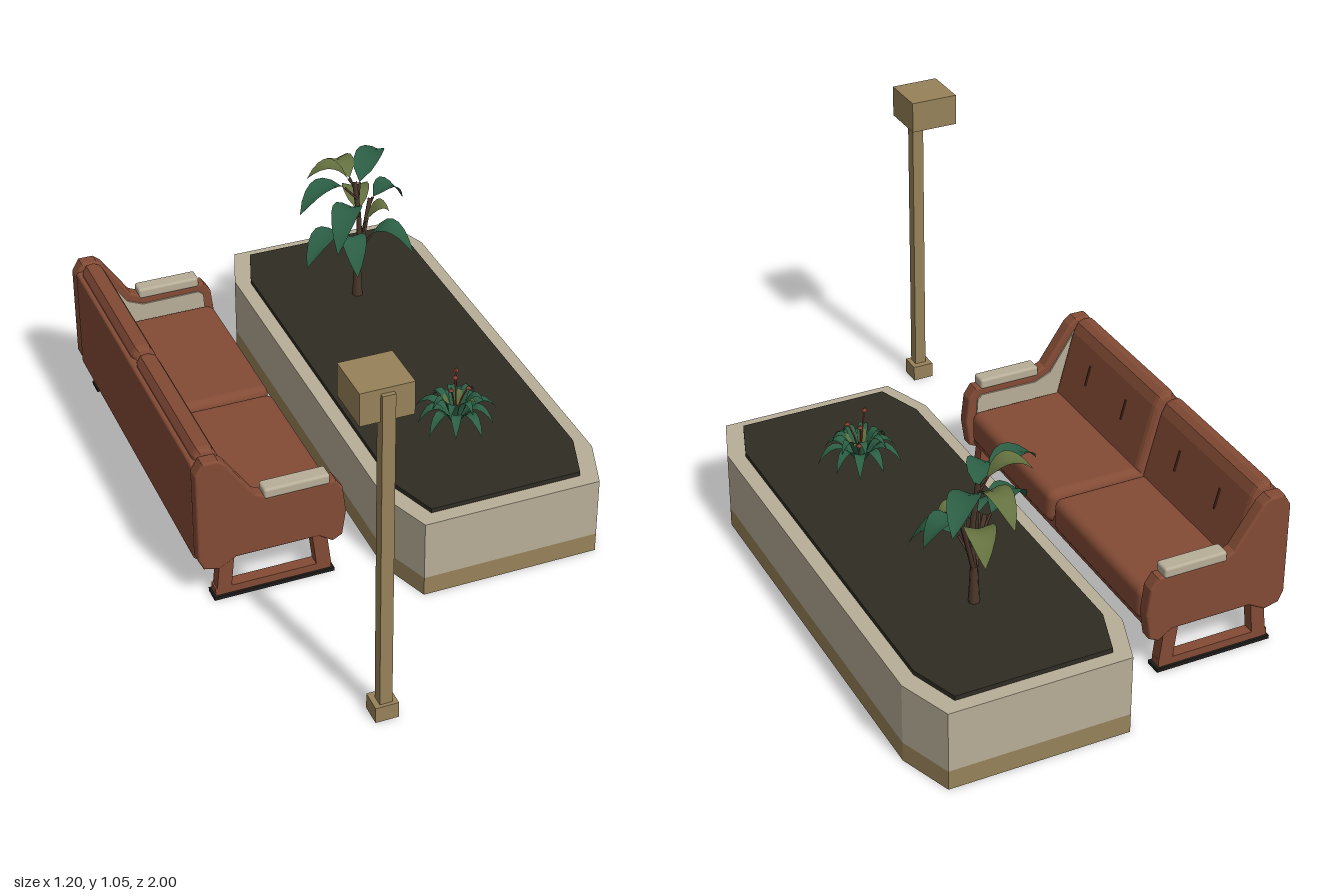
import * as THREE from 'three';
import { RoundedBoxGeometry } from 'three/addons/geometries/RoundedBoxGeometry.js';

const mat = (name, color, double) => {
  const m = new THREE.MeshStandardMaterial({ color });
  m.name = name;
  if (double) m.side = THREE.DoubleSide;
  return m;
};

export function createModel() {
  const leather = mat('brown leather', 0x834b35);
  const stone = mat('pale stone', 0xb8ae98);
  const brass = mat('dull brass', 0x978259);
  const soilMat = mat('dark soil', 0x2f2c23);
  const rubber = mat('black rubber', 0x1f1d1a);
  const seamMat = mat('dark seam', 0x57301f);
  const green = mat('leaf green', 0x2c5f45, true);
  const olive = mat('leaf olive', 0x64713f, true);
  const bark = mat('stem bark', 0x4c382c);
  const red = mat('flower red', 0x85402f);

  const model = new THREE.Group();
  const group = (name) => {
    const g = new THREE.Group();
    g.name = name;
    model.add(g);
    return g;
  };
  const add = (parent, name, geo, material) => {
    const m = new THREE.Mesh(geo, material);
    m.name = name;
    parent.add(m);
    return m;
  };
  // Box given by its limits on each axis, rounded when r is set
  const box = (parent, name, material, [x0, x1], [y0, y1], [z0, z1], r = 0) => {
    const s = [x1 - x0, y1 - y0, z1 - z0];
    const geo = r ? new RoundedBoxGeometry(...s, 3, r) : new THREE.BoxGeometry(...s);
    geo.translate((x0 + x1) / 2, (y0 + y1) / 2, (z0 + z1) / 2);
    return add(parent, name, geo, material);
  };
  const shapeOf = (pts) => new THREE.Shape(pts.map(([x, y]) => new THREE.Vector2(x, y)));
  // Side profile (x, y) swept from z0 to z1 with bevelled rims
  const slab = (parent, name, material, pts, z0, z1, bevel = 0) => {
    const geo = new THREE.ExtrudeGeometry(shapeOf(pts), {
      depth: z1 - z0 - 2 * bevel, bevelEnabled: bevel > 0, bevelThickness: bevel,
      bevelSize: bevel, bevelOffset: -bevel, bevelSegments: 3,
    });
    geo.translate(0, 0, z0 + bevel);
    return add(parent, name, geo, material);
  };

  // Planter: stacked plates with cut corners
  const planter = group('planter');
  const octagon = (name, material, x0, x1, z0, z1, cx, cz, y0, y1) => {
    const pts = [[x0 + cx, -z1], [x1 - cx, -z1], [x1, -z1 + cz], [x1, -z0 - cz],
      [x1 - cx, -z0], [x0 + cx, -z0], [x0, -z0 - cz], [x0, -z1 + cz]];
    const geo = new THREE.ExtrudeGeometry(shapeOf(pts), { depth: y1 - y0, bevelEnabled: false });
    geo.rotateX(-Math.PI / 2).translate(0, y0, 0);
    add(planter, name, geo, material);
  };
  octagon('planterPlinth', brass, -0.055, 0.6, -1, 0.56, 0.057, 0.16, 0, 0.06);
  octagon('planterWall', stone, -0.055, 0.6, -1, 0.56, 0.057, 0.16, 0.06, 0.248);
  octagon('soil', soilMat, -0.01, 0.553, -0.957, 0.515, 0.05, 0.145, 0.248, 0.262);

  // Lamp post
  const lamp = group('lampPost');
  box(lamp, 'lampBase', brass, [-0.33, -0.263], [0, 0.05], [0.935, 1]);
  box(lamp, 'lampPole', brass, [-0.314, -0.278], [0.05, 1.04], [0.955, 0.99]);
  box(lamp, 'lampHead', brass, [-0.37, -0.222], [0.958, 1.055], [0.832, 0.978]);

  // Sofa, facing +x
  const sofa = group('sofa');
  const armProfile = [[-0.598, 0.15], [-0.582, 0.116], [-0.537, 0.105], [-0.485, 0.134],
    [-0.237, 0.134], [-0.195, 0.105], [-0.165, 0.12], [-0.153, 0.2], [-0.163, 0.285],
    [-0.185, 0.318], [-0.38, 0.315], [-0.424, 0.336], [-0.508, 0.46], [-0.53, 0.478],
    [-0.576, 0.478], [-0.598, 0.44]];
  const inlay = [[-0.57, 0.2], [-0.185, 0.2], [-0.19, 0.28], [-0.205, 0.295], [-0.39, 0.293],
    [-0.44, 0.315], [-0.525, 0.445], [-0.57, 0.445]];
  for (const [z0, z1, inner] of [[-0.805, -0.76, -0.761], [0.315, 0.36, 0.31]]) {
    slab(sofa, 'armPanel', leather, armProfile, z0, z1, 0.007);
    slab(sofa, 'armInlay', stone, inlay, inner, inner + 0.006);
    box(sofa, 'armPad', stone, [-0.4, -0.203], [0.312, 0.345], [z0 - 0.003, z1 + 0.003], 0.008);
    // Sled leg under each arm
    const a = z0 + 0.004, b = z1 - 0.004;
    slab(sofa, 'backLeg', leather, [[-0.545, 0.03], [-0.502, 0.03], [-0.49, 0.15], [-0.533, 0.15]], a, b);
    slab(sofa, 'frontLeg', leather, [[-0.244, 0.03], [-0.2, 0.03], [-0.214, 0.15], [-0.258, 0.15]], a, b);
    box(sofa, 'sledBar', leather, [-0.55, -0.2], [0.011, 0.035], [a, b]);
    box(sofa, 'sledFoot', rubber, [-0.556, -0.192], [0, 0.011], [a - 0.007, b + 0.007]);
  }
  box(sofa, 'backPanel', leather, [-0.597, -0.57], [0.125, 0.455], [-0.762, 0.317], 0.008);
  box(sofa, 'seatBase', leather, [-0.58, -0.18], [0.125, 0.17], [-0.762, 0.317]);
  for (const x of [-0.53, -0.25])
    box(sofa, 'underRail', leather, [x, x + 0.025], [0.1, 0.126], [-0.78, 0.335]);

  // Two seat cushions and two leaning back cushions with stitched tucks
  const backProfile = [[-0.585, 0.21], [-0.462, 0.21], [-0.458, 0.25], [-0.51, 0.45], [-0.525, 0.48],
    [-0.545, 0.49], [-0.57, 0.487], [-0.583, 0.465]];
  for (const [z0, z1] of [[-0.752, -0.23], [-0.216, 0.308]]) {
    box(sofa, 'seatCushion', leather, [-0.53, -0.163], [0.14, 0.25], [z0, z1], 0.028);
    slab(sofa, 'backCushion', leather, backProfile, z0, z1, 0.022);
    for (const dz of [-0.11, 0.11]) {
      const seam = add(sofa, 'cushionSeam', new THREE.BoxGeometry(0.006, 0.065, 0.005), seamMat);
      seam.position.set(-0.488, 0.37, (z0 + z1) / 2 + dz);
      seam.rotation.z = 0.254;
    }
  }

  // Folded leaf along an arched path, widest just past the root
  const V = (p) => new THREE.Vector3(...p);
  const leaf = (parent, root, top, tip, width, material) => {
    const path = new THREE.QuadraticBezierCurve3(V(root), V(top), V(tip));
    const dir = V(tip).sub(V(root));
    const side = new THREE.Vector3(-dir.z, 0, dir.x).normalize();
    const pos = [], idx = [], n = 7;
    for (let i = 0; i <= n; i++) {
      const t = i / n, p = path.getPoint(t);
      const w = width * 0.5 * Math.pow(Math.sin(Math.PI * Math.pow(t, 0.8)), 0.75) || 0;
      for (const s of [-1, 0, 1])
        pos.push(p.x + side.x * w * s, p.y + Math.abs(s) * w * 0.3, p.z + side.z * w * s);
      if (i < n) for (const k of [0, 1]) {
        const a = i * 3 + k;
        idx.push(a, a + 1, a + 3, a + 1, a + 4, a + 3);
      }
    }
    const geo = new THREE.BufferGeometry();
    geo.setAttribute('position', new THREE.Float32BufferAttribute(pos, 3));
    geo.setIndex(idx);
    geo.computeVertexNormals();
    add(parent, 'leaf', geo, material);
  };
  const stem = (parent, pts, r, material) =>
    add(parent, 'stem', new THREE.TubeGeometry(new THREE.CatmullRomCurve3(pts.map(V)), 8, r, 6), material);

  // Tall plant: trunk, three branches, broad drooping leaves
  const tall = group('tallPlant');
  add(tall, 'trunk', new THREE.CylinderGeometry(0.011, 0.017, 0.12, 7).translate(0.275, 0.318, -0.605), bark);
  stem(tall, [[0.275, 0.36, -0.605], [0.285, 0.5, -0.615], [0.275, 0.66, -0.63]], 0.008, bark);
  stem(tall, [[0.275, 0.36, -0.605], [0.305, 0.46, -0.63], [0.34, 0.57, -0.66]], 0.007, bark);
  stem(tall, [[0.272, 0.35, -0.605], [0.255, 0.43, -0.59], [0.225, 0.51, -0.57]], 0.007, bark);
  const leaves = [
    // petiole start, leaf root, arch point, tip, width
    [[0.28, 0.6, -0.62], [0.23, 0.66, -0.605], [0.14, 0.73, -0.58], [0.06, 0.63, -0.545], 0.08, green],
    [[0.276, 0.64, -0.63], [0.255, 0.67, -0.635], [0.2, 0.76, -0.65], [0.13, 0.68, -0.665], 0.07, olive],
    [[0.282, 0.58, -0.62], [0.3, 0.64, -0.65], [0.37, 0.73, -0.73], [0.44, 0.64, -0.815], 0.085, green],
    [[0.285, 0.54, -0.615], [0.25, 0.6, -0.57], [0.19, 0.69, -0.5], [0.14, 0.53, -0.435], 0.09, green],
    [[0.33, 0.54, -0.65], [0.35, 0.57, -0.662], [0.41, 0.64, -0.67], [0.46, 0.535, -0.68], 0.08, green],
    [[0.25, 0.45, -0.59], [0.21, 0.51, -0.575], [0.13, 0.59, -0.53], [0.06, 0.47, -0.49], 0.085, green],
    [[0.29, 0.42, -0.615], [0.315, 0.48, -0.59], [0.37, 0.56, -0.55], [0.425, 0.43, -0.505], 0.085, green],
    [[0.25, 0.45, -0.59], [0.235, 0.51, -0.555], [0.22, 0.56, -0.5], [0.215, 0.42, -0.455], 0.08, green],
    [[0.3, 0.45, -0.625], [0.3, 0.53, -0.66], [0.32, 0.63, -0.74], [0.34, 0.51, -0.805], 0.085, olive],
    [[0.276, 0.63, -0.63], [0.275, 0.65, -0.67], [0.27, 0.73, -0.75], [0.26, 0.61, -0.815], 0.075, olive],
    [[0.3, 0.48, -0.62], [0.3, 0.53, -0.6], [0.35, 0.6, -0.6], [0.37, 0.56, -0.575], 0.07, olive],
  ];
  for (const [from, root, top, tip, w, m] of leaves) {
    stem(tall, [from, root], 0.004, bark);
    leaf(tall, root, top, tip, w, m);
  }

  // Low plant: two rings of arching leaves with a few flower stalks
  const low = group('lowPlant');
  const cx = 0.27, cz = 0.165;
  const ring = (count, r, peak, end, turn, w, m) => {
    for (let i = 0; i < count; i++) {
      const a = (i / count) * Math.PI * 2 + turn, len = r * (i % 2 ? 0.9 : 1);
      const at = (d, y) => [cx + Math.cos(a) * d, y, cz + Math.sin(a) * d];
      leaf(low, at(0.008, 0.265), at(len * 0.55, peak), at(len, end), w, m);
    }
  };
  ring(10, 0.13, 0.39, 0.288, 0.1, 0.036, green);
  ring(7, 0.085, 0.42, 0.335, 0.4, 0.03, green);
  ring(4, 0.06, 0.38, 0.35, 0.7, 0.022, olive);
  for (const [dx, y, dz] of [[-0.035, 0.42, 0.04], [0.01, 0.41, -0.03], [0.04, 0.39, -0.09], [0.03, 0.4, 0.02]]) {
    stem(low, [[cx, 0.262, cz], [cx + dx * 0.4, 0.35, cz + dz * 0.4], [cx + dx, y, cz + dz]], 0.0025, red);
    const flower = add(low, 'flower', new THREE.ConeGeometry(0.009, 0.014, 6), red);
    flower.position.set(cx + dx, y, cz + dz);
  }
  return model;
}
